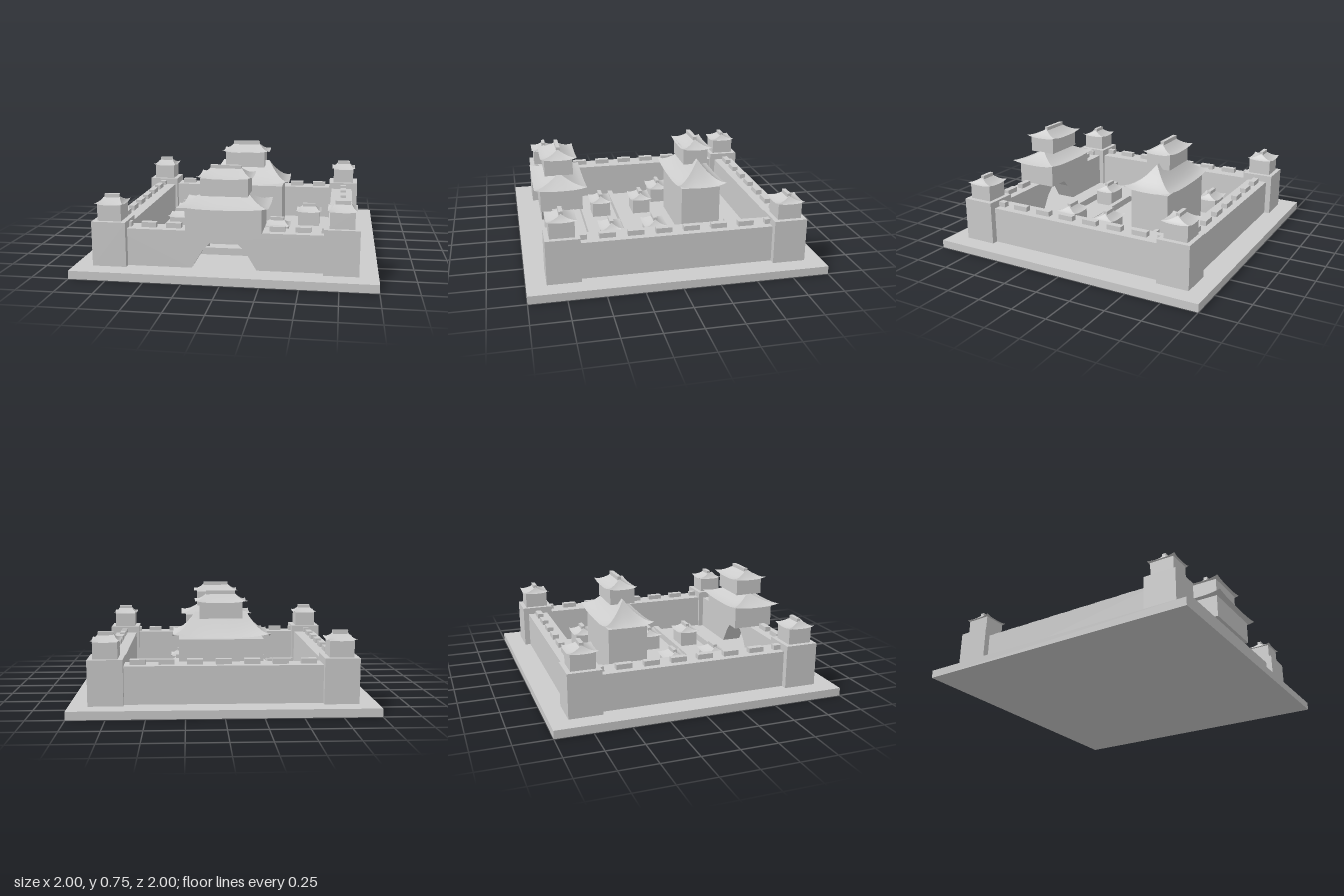
import * as THREE from 'three';

export function createModel() {
  const model = new THREE.Group();
  model.name = 'walledFortress';
  const stone = new THREE.MeshStandardMaterial({ color: 0xcccccc, side: THREE.DoubleSide });
  stone.name = 'pale stone';

  const add = (parent, name, geometry, x = 0, y = 0, z = 0) => {
    const mesh = new THREE.Mesh(geometry, stone);
    mesh.name = name;
    mesh.position.set(x, y, z);
    parent.add(mesh);
    return mesh;
  };
  // Box given by its centre in x and z and its bottom and top heights
  const block = (parent, name, x, z, w, d, y0, y1) =>
    add(parent, name, new THREE.BoxGeometry(w, y1 - y0, d), x, (y0 + y1) / 2, z);

  // Hipped roof with concave slopes and upturned corners; four separate sides keep the hips sharp
  const roofGeometry = (w, d, ridge, h, lift) => {
    const pos = [], index = [], cols = 10, rows = 6;
    for (let side = 0; side < 4; side++) {
      const start = pos.length / 3;
      for (let r = 0; r <= rows; r++) {
        const t = r / rows;
        const hx = THREE.MathUtils.lerp(w / 2, ridge / 2, t);
        const hz = (d / 2) * (1 - t);
        for (let c = 0; c <= cols; c++) {
          const s = (c / cols) * 2 - 1;
          const y = h * Math.pow(t, 1.6) + lift * Math.pow(1 - t, 2) * Math.pow(Math.abs(s), 3);
          const p = [[s * hx, hz], [hx, -s * hz], [-s * hx, -hz], [-hx, s * hz]][side];
          pos.push(p[0], y, p[1]);
        }
      }
      for (let r = 0; r < rows; r++) for (let c = 0; c < cols; c++) {
        const a = start + r * (cols + 1) + c, b = a + cols + 1;
        index.push(a, a + 1, b + 1, a, b + 1, b);
      }
    }
    const g = new THREE.BufferGeometry();
    g.setAttribute('position', new THREE.Float32BufferAttribute(pos, 3));
    g.setIndex(index);
    g.computeVertexNormals();
    return g;
  };
  const roof = (parent, name, z, y, w, d, ridge, h, lift) =>
    add(parent, name, roofGeometry(w, d, ridge, h, lift), 0, y, z);

  // Small pavilion, used for corner turrets and courtyard houses
  const pavilion = (name, x, y, z, w, d) => {
    const g = new THREE.Group();
    g.name = name;
    g.position.set(x, y, z);
    block(g, 'pavilionWalls', 0, 0, w - 0.03, d - 0.03, 0, 0.11);
    roof(g, 'pavilionRoof', 0, 0.11, w, d, 0.1, 0.045, 0.013);
    block(g, 'pavilionRidge', 0, 0, 0.1, 0.027, 0.145, 0.17);
    model.add(g);
  };

  // Ground slab
  block(model, 'groundSlab', 0, 0, 2, 2, 0, 0.055);

  // Back and side walls
  block(model, 'backWall', 0, -0.765, 1.5, 0.148, 0.055, 0.307);
  for (const s of [-1, 1]) block(model, 'sideWall', s * 0.749, 0, 0.166, 1.5, 0.055, 0.307);

  // Front wall with an arched passage
  const wall = new THREE.Shape();
  wall.moveTo(-0.75, 0.055);
  wall.lineTo(-0.215, 0.055);
  const arch = [[-0.185, 0.105], [-0.14, 0.18], [-0.085, 0.235], [-0.04, 0.255], [0, 0.26]];
  arch.forEach(([x, y]) => wall.lineTo(x, y));
  arch.slice(0, -1).reverse().forEach(([x, y]) => wall.lineTo(-x, y));
  wall.lineTo(0.215, 0.055);
  wall.lineTo(0.75, 0.055);
  wall.lineTo(0.75, 0.307);
  wall.lineTo(-0.75, 0.307);
  add(model, 'frontWall',
    new THREE.ExtrudeGeometry(wall, { depth: 0.145, bevelEnabled: false }), 0, 0, 0.68);

  // Battlements
  for (let i = 0; i < 7; i++)
    block(model, 'backMerlon', -0.558 + i * 0.186, -0.769, 0.104, 0.043, 0.307, 0.341);
  for (const s of [-1, 1]) {
    for (let i = 0; i < 3; i++)
      block(model, 'frontMerlon', s * (0.344 + i * 0.168), 0.754, 0.1, 0.043, 0.307, 0.341);
    for (let i = 0; i < 8; i++)
      block(model, 'sideMerlon', s * 0.762, -0.67 + i * 0.188, 0.043, 0.107, 0.307, 0.341);
  }

  // Corner towers with turrets
  for (const sx of [-1, 1]) for (const sz of [-1, 1]) {
    const z = sz < 0 ? -0.766 : 0.756;
    block(model, 'cornerTower', sx * 0.761, z, 0.229, 0.226, 0.055, 0.356);
    pavilion('cornerTurret', sx * 0.761, 0.355, z, 0.19, 0.195);
  }

  // Gatehouse above the passage
  const gate = new THREE.Group();
  gate.name = 'gatehouse';
  model.add(gate);
  block(gate, 'gateLowerStorey', 0, 0.702, 0.5, 0.295, 0.307, 0.465);
  roof(gate, 'gateLowerRoof', 0.707, 0.465, 0.58, 0.37, 0.28, 0.088, 0.018);
  block(gate, 'gateUpperStorey', 0, 0.706, 0.31, 0.2, 0.537, 0.653);
  roof(gate, 'gateUpperRoof', 0.703, 0.653, 0.36, 0.256, 0.2, 0.06, 0.016);
  block(gate, 'gateRidge', 0, 0.701, 0.204, 0.027, 0.7, 0.727);

  // Main hall
  const hall = new THREE.Group();
  hall.name = 'mainHall';
  model.add(hall);
  block(hall, 'hallLowerStorey', 0, -0.303, 0.59, 0.285, 0.055, 0.416);
  roof(hall, 'hallLowerRoof', -0.303, 0.43, 0.68, 0.36, 0.36, 0.165, 0.028);
  block(hall, 'hallUpperStorey', 0, -0.297, 0.3, 0.18, 0.553, 0.67);
  roof(hall, 'hallUpperRoof', -0.303, 0.665, 0.365, 0.22, 0.2, 0.062, 0.016);
  block(hall, 'hallRidge', 0, -0.303, 0.204, 0.027, 0.718, 0.745);

  // Courtyard houses
  const houses = [[-0.497, -0.445], [0.492, -0.445], [-0.493, -0.145], [-0.28, 0.042],
    [0.277, 0.042], [-0.274, 0.36], [0.27, 0.36]];
  for (const [x, z] of houses) pavilion('courtyardHouse', x, 0.055, z, 0.2, 0.166);

  // Low courtyard walls
  for (const z of [0.23, 0.495]) block(model, 'courtyardWall', 0, z, 1.225, 0.036, 0.055, 0.105);

  return model;
}
